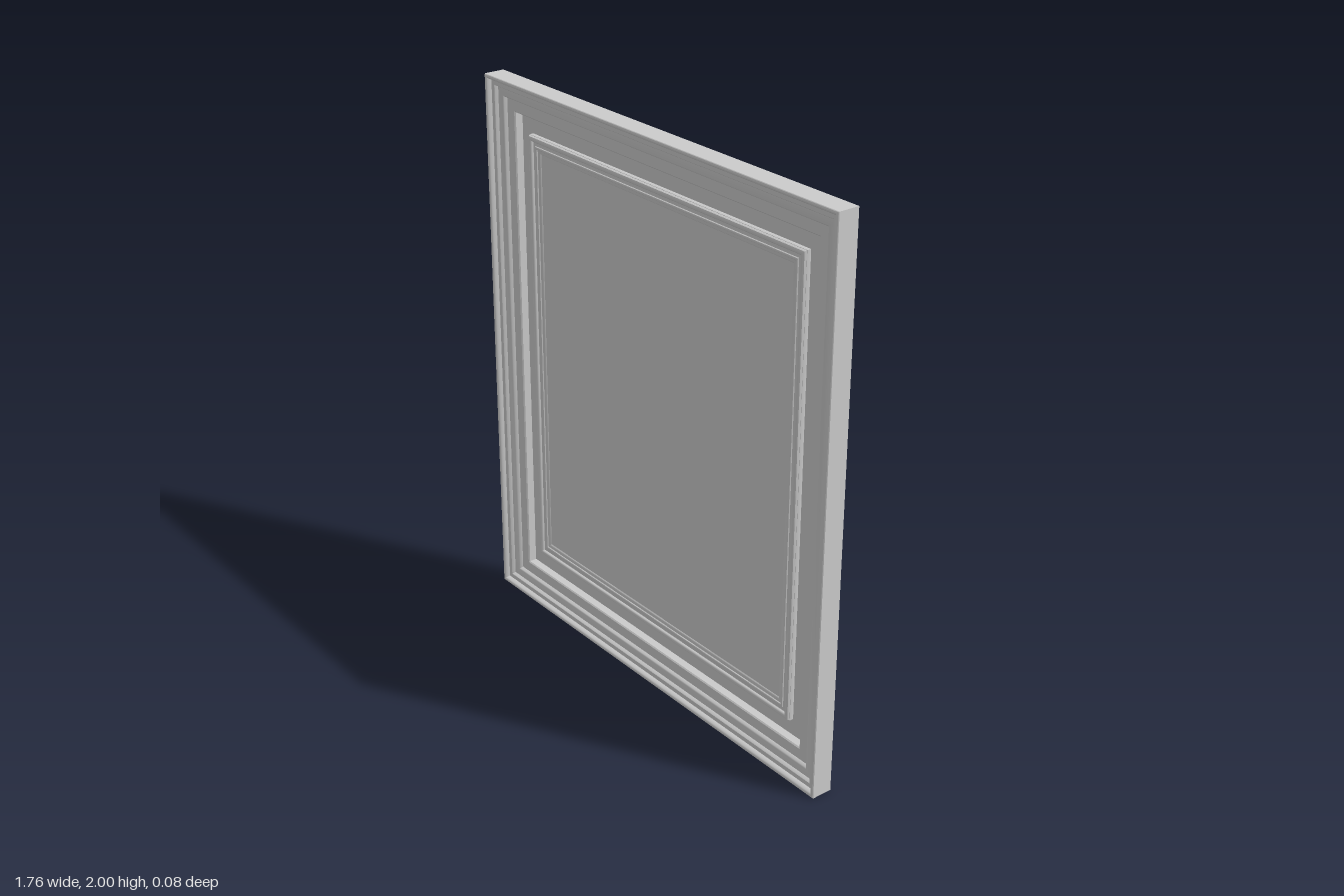
import * as THREE from 'three';
import { toCreasedNormals } from 'three/addons/utils/BufferGeometryUtils.js';

const W = 1.76, H = 2, BACK = -0.04, PANEL_INSET = 0.24, PANEL_Z = -0.023;
const material = new THREE.MeshStandardMaterial({ color: 0xcccccc });

// Corners of a rectangle set in from the outer edge, counter-clockwise from the front
function corners([inset, z]) {
  const x = W / 2 - inset, lo = inset, hi = H - inset;
  return [[-x, lo, z], [x, lo, z], [x, hi, z], [-x, hi, z]];
}

// Sweeps an [inset, z] profile around the rectangle with mitred corners
function moulding(name, profile) {
  const pos = [];
  for (let i = 0; i < profile.length - 1; i++) {
    const a = corners(profile[i]), b = corners(profile[i + 1]);
    for (let k = 0; k < 4; k++) {
      const n = (k + 1) % 4;
      pos.push(...a[k], ...a[n], ...b[n], ...a[k], ...b[n], ...b[k]);
    }
  }
  const geo = new THREE.BufferGeometry();
  geo.setAttribute('position', new THREE.Float32BufferAttribute(pos, 3));
  const mesh = new THREE.Mesh(toCreasedNormals(geo, 0.7), material);
  mesh.name = name;
  return mesh;
}

// Half-round bead between two insets
function bead(from, to, base, rise, steps = 8) {
  return Array.from({ length: steps + 1 }, (_, i) => {
    const t = Math.PI * i / steps;
    return [(from + to) / 2 - Math.cos(t) * (to - from) / 2, base + Math.sin(t) * rise];
  });
}

function sheet(name, inset, z, facing) {
  const mesh = new THREE.Mesh(new THREE.PlaneGeometry(W - 2 * inset, H - 2 * inset), material);
  mesh.position.set(0, H / 2, z);
  if (facing < 0) mesh.rotation.y = Math.PI;
  mesh.name = name;
  return mesh;
}

export function createModel() {
  const group = new THREE.Group();
  group.name = 'framedPanel';

  group.add(sheet('backBoard', 0, BACK, -1));
  group.add(moulding('outerSides', [[0, BACK], [0, 0.035]]));

  // Rounded outer lip
  group.add(moulding('outerLip', [
    [0, 0.035], [0.002, 0.038], [0.006, 0.04], [0.01, 0.039], [0.014, 0.035], [0.017, 0.027], [0.018, 0.022],
  ]));

  // Steps going down to the groove
  group.add(moulding('frameSteps', [
    [0.018, 0.022], [0.034, 0.022], [0.036, 0.02], [0.04, 0.01],
    [0.066, 0.01], [0.07, 0.007], [0.074, -0.003],
    [0.113, -0.003], [0.117, -0.007], [0.119, -0.033], [0.181, -0.033],
  ]));

  // Raised bead and inner steps around the panel
  group.add(moulding('innerBead', [[0.181, -0.033], [0.181, -0.018], ...bead(0.182, 0.202, -0.018, 0.01), [0.203, -0.018]]));
  group.add(moulding('innerSteps', [
    [0.203, -0.018], [0.213, -0.018], ...bead(0.215, 0.226, -0.018, 0.005),
    [0.234, -0.018], [0.237, -0.019], [PANEL_INSET, PANEL_Z],
  ]));

  group.add(sheet('centrePanel', PANEL_INSET, PANEL_Z, 1));
  return group;
}
